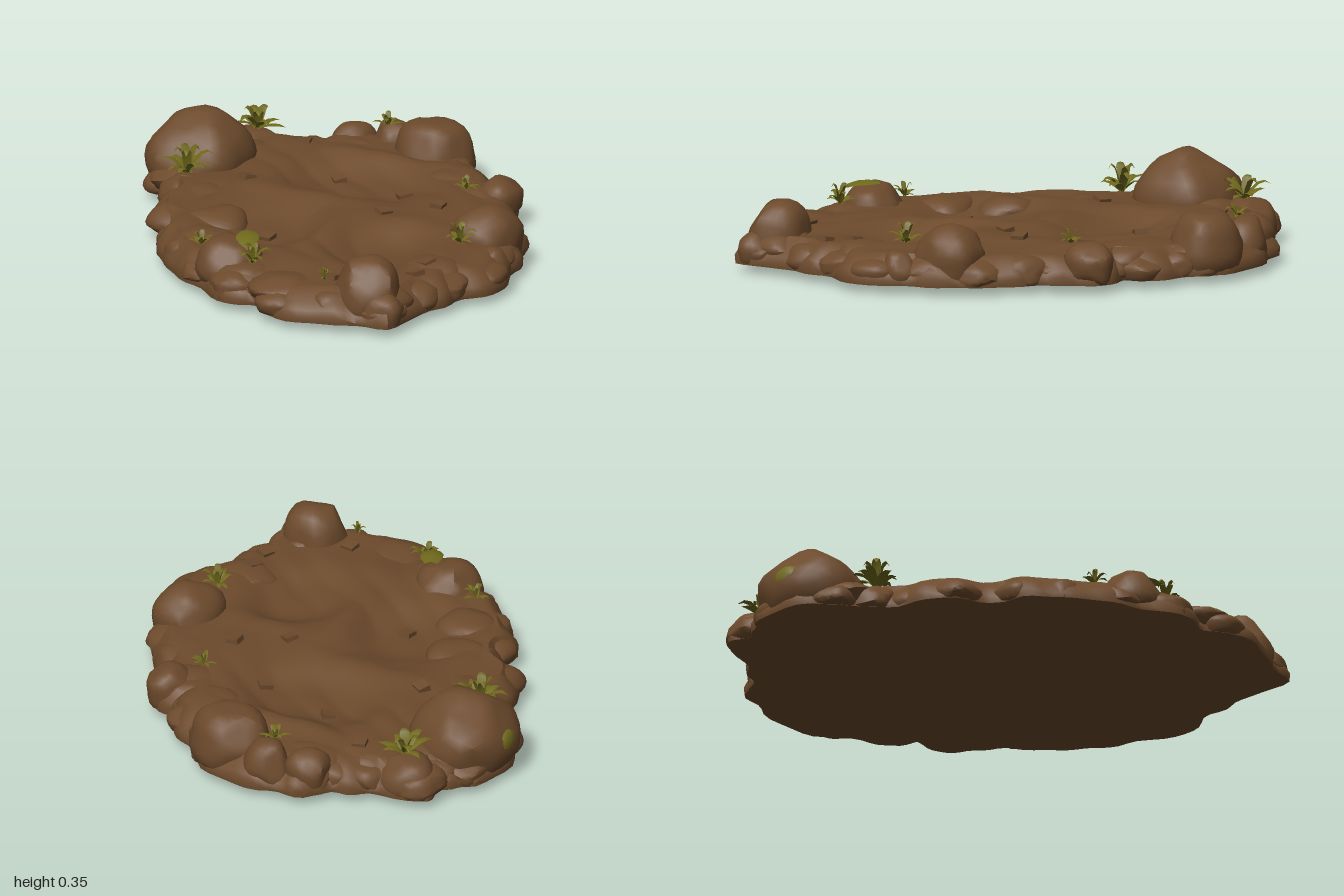
import * as THREE from 'three';
import { mergeVertices, mergeGeometries, toCreasedNormals } from 'three/addons/utils/BufferGeometryUtils.js';

const earth = new THREE.MeshStandardMaterial({ color: 0x6c4a2c });
earth.name = 'earth brown';
const grass = new THREE.MeshStandardMaterial({ color: 0x70691c, side: THREE.DoubleSide });
grass.name = 'olive grass';

// Seeded random numbers
let seed = 7;
const rand = () => (seed = (seed * 16807) % 2147483647) / 2147483647;

// Ground plan of the mound, as x, z pairs
const OUTLINE = [
  [-0.14, -0.99], [0.14, -0.95], [0.22, -0.86], [0.37, -0.75], [0.42, -0.64], [0.56, -0.6], [0.61, -0.46],
  [0.70, -0.32], [0.82, -0.15], [0.88, 0.05], [0.93, 0.29], [0.84, 0.48], [0.79, 0.66], [0.74, 0.89],
  [0.53, 0.94], [0.30, 0.99], [0.17, 0.89], [0.03, 0.90], [-0.18, 0.77], [-0.37, 0.63], [-0.49, 0.46],
  [-0.51, 0.32], [-0.66, 0.21], [-0.69, 0.0], [-0.79, -0.15], [-0.9, -0.27], [-0.88, -0.54], [-0.78, -0.62],
  [-0.77, -0.74], [-0.55, -0.81], [-0.41, -0.87], [-0.33, -0.95],
];

// Flat-bottomed pits, then ridges: x, z, radius x, radius z, height, edge sharpness
const RELIEF = [
  [-0.04, -0.38, 0.28, 0.18, -0.05, 4], [-0.13, 0.26, 0.21, 0.22, -0.05, 4], [0.41, 0.32, 0.19, 0.21, -0.05, 4],
  [-0.03, -0.64, 0.3, 0.06, 0.03, 2], [-0.38, -0.42, 0.08, 0.16, 0.02, 2], [-0.12, -0.1, 0.3, 0.08, 0.025, 2],
  [0.14, 0.22, 0.06, 0.2, 0.02, 2], [0.4, 0.02, 0.2, 0.08, 0.02, 2], [-0.42, 0.12, 0.08, 0.2, 0.015, 2],
  [0.2, 0.64, 0.25, 0.1, 0.012, 2], [0.4, -0.3, 0.12, 0.2, 0.015, 2],
];

function groundHeight(x, z) {
  let y = 0.145 + 0.008 * Math.sin(11 * x + 3 * z) * Math.cos(9 * z - 4 * x)
    + 0.007 * Math.abs(Math.sin(13 * x - 9 * z + 2 * Math.sin(7 * z)));
  for (const [cx, cz, rx, rz, h, sharp] of RELIEF) {
    y += h * Math.exp(-(Math.hypot((x - cx) / rx, (z - cz) / rz) ** sharp));
  }
  return y;
}

// Slab: rings run out over the top, round the rim and back under
function slabGeometry() {
  const curve = new THREE.CatmullRomCurve3(OUTLINE.map(([x, z]) => new THREE.Vector3(x, 0, z)), true);
  const n = 160, rim = curve.getPoints(n);
  const rings = [];
  for (let i = 0; i <= 32; i++) rings.push([0.9 * i / 32, null]);
  rings.push([0.935, 0.128], [0.965, 0.105], [0.99, 0.082], [1.003, 0.058], [1, 0.035], [0.5, 0.012], [0, 0]);
  const pos = [], index = [];
  rings.forEach(([s, y], i) => {
    for (let j = 0; j < n; j++) {
      // The rim rolls in and out in small lumps
      const a = j / n * Math.PI * 2, roll = 0.009 * Math.sin(23 * a) + 0.007 * Math.sin(37 * a + 1);
      const k = s * (1 + roll * s * s), x = rim[j].x * k, z = rim[j].z * k;
      const lift = y > 0.05 ? roll * 0.9 : 0;
      pos.push(x, y === null ? groundHeight(x, z) : y + lift, z);
      if (i === rings.length - 1) continue;
      const p = i * n + j, q = i * n + (j + 1) % n;
      if (i > 0) index.push(p, q, p + n);
      if (i < rings.length - 2) index.push(q, q + n, p + n);
    }
  });
  const g = new THREE.BufferGeometry();
  g.setAttribute('position', new THREE.Float32BufferAttribute(pos, 3));
  g.setIndex(index);
  return toCreasedNormals(g, 0.8);
}

// Lumpy boulder with blunted sides and a boxy swell
function boulderGeometry(rx, ry, rz) {
  let g = new THREE.IcosahedronGeometry(1, 4);
  g.deleteAttribute('normal');
  g.deleteAttribute('uv');
  g = mergeVertices(g, 1e-4);
  const p = g.attributes.position, v = new THREE.Vector3();
  const a = rand() * 6, b = rand() * 6, c = rand() * 6;
  // Random cutting planes flatten the sides into broad faces
  const cuts = Array.from({ length: 10 }, () =>
    [new THREE.Vector3(rand() - 0.5, rand() - 0.5, rand() - 0.5).normalize(), 0.86 + rand() * 0.1]);
  for (let i = 0; i < p.count; i++) {
    v.fromBufferAttribute(p, i);
    const swell = (Math.abs(v.x) ** 2.4 + Math.abs(v.y) ** 2.4 + Math.abs(v.z) ** 2.4) ** (-1 / 2.4);
    let r = swell * (0.97 + 0.05 * Math.sin(4 * v.x + a) * Math.cos(4 * v.z + b) + 0.03 * Math.sin(6 * v.y + c));
    for (const [dir, d] of cuts) {
      const dot = v.dot(dir);
      if (dot * r > d) r = d / dot;
    }
    p.setXYZ(i, v.x * r * rx, v.y * r * ry, v.z * r * rz);
  }
  return g;
}

// Boulder resting on a flat, buried base
function addBoulder(parent, name, x, z, rx, rz, top, middle) {
  const g = boulderGeometry(rx, top - middle, rz);
  g.computeBoundingBox();
  const lift = top - g.boundingBox.max.y, p = g.attributes.position;
  for (let i = 0; i < p.count; i++) p.setY(i, Math.max(p.getY(i), 0.036 - lift));
  const mesh = new THREE.Mesh(toCreasedNormals(g, 0.7), earth);
  mesh.name = name;
  mesh.position.set(x, lift, z);
  parent.add(mesh);
}

// Pointed leaf that rises from the origin and arches outwards
function bladeGeometry(length, width, rise) {
  const pos = [], index = [], steps = 4;
  for (let i = 0; i <= steps; i++) {
    const t = i / steps, w = width * (0.35 + 1.9 * t) * (1 - t) + 0.0005;
    const x = length * t, y = rise * Math.sin(t * 2.2);
    pos.push(x, y, -w, x, y + w * 0.3, 0, x, y, w);
    if (i === steps) continue;
    for (const k of [0, 1]) {
      const a = i * 3 + k;
      index.push(a, a + 1, a + 3, a + 1, a + 4, a + 3);
    }
  }
  const g = new THREE.BufferGeometry();
  g.setAttribute('position', new THREE.Float32BufferAttribute(pos, 3));
  g.setIndex(index);
  g.computeVertexNormals();
  return g;
}

// Tuft of spreading leaves round a few upright ones
function addTuft(parent, x, y, z, size, height, count) {
  const blades = [];
  for (let i = 0; i < count; i++) {
    const upright = i % 3 === 2;
    const g = bladeGeometry(size * (upright ? 0.5 : 0.75 + 0.35 * rand()), size * 0.25,
      height * (upright ? 1 : 0.25 + 0.6 * rand()));
    g.rotateY((i + 0.7 * rand()) / count * Math.PI * 2);
    blades.push(g);
  }
  const tuft = new THREE.Mesh(mergeGeometries(blades), grass);
  tuft.name = 'grassTuft';
  tuft.position.set(x, y, z);
  parent.add(tuft);
}

export function createModel() {
  const model = new THREE.Group();
  model.name = 'earthMound';

  const slab = new THREE.Mesh(slabGeometry(), earth);
  slab.name = 'ground';
  model.add(slab);

  // Large boulders: x, z, radius x, radius z, top, middle
  const boulders = [
    [-0.73, -0.37, 0.21, 0.215, 0.35, 0.15], [0.07, -0.83, 0.165, 0.145, 0.27, 0.12],
    [0.72, -0.02, 0.14, 0.145, 0.27, 0.12], [0.6, 0.78, 0.14, 0.125, 0.28, 0.12],
    [-0.06, 0.69, 0.135, 0.135, 0.235, 0.12], [0.51, -0.53, 0.095, 0.1, 0.2, 0.1],
    [-0.3, -0.86, 0.09, 0.09, 0.2, 0.1], [-0.64, -0.68, 0.13, 0.11, 0.18, 0.08],
    [0.84, 0.15, 0.06, 0.07, 0.165, 0.08], [-0.14, -0.9, 0.1, 0.09, 0.22, 0.1],
    [-0.66, -0.12, 0.1, 0.09, 0.155, 0.08], [0.68, 0.83, 0.1, 0.08, 0.17, 0.08],
  ];
  for (const b of boulders) addBoulder(model, 'boulder', ...b);

  // Worn lumps along the rim, with broad low mounds behind every other one
  OUTLINE.forEach(([x, z], i) => {
    const d = Math.hypot(x, z), k = 1 - 0.11 / d, m = 1 - 0.18 / d, r = 0.1 + 0.02 * rand();
    addBoulder(model, 'rimLump', x * k, z * k, r, r * (0.9 + 0.2 * rand()), 0.128 + 0.02 * rand(), 0.07);
    if (i % 2) addBoulder(model, 'lowMound', x * m, z * m, 0.14, 0.13, 0.158 + 0.014 * rand(), 0.1);
  });

  // Small stones half sunk into the ground
  const stones = [
    [-0.15, -0.44], [0.25, -0.04], [-0.09, 0.3], [0.42, 0.74], [0.69, 0.54], [0.68, 0.42], [0.18, -0.36],
    [-0.42, -0.66], [-0.41, -0.15], [0.42, -0.18],
  ];
  for (const [x, z] of stones) {
    const stone = new THREE.Mesh(new THREE.BoxGeometry(0.05, 0.03, 0.055), earth);
    stone.name = 'stone';
    stone.position.set(x, groundHeight(x, z) + 0.002, z);
    stone.rotation.set(0.5 * rand() - 0.25, rand() * 6, 0.5 * rand() - 0.25);
    model.add(stone);
  }

  // Grass tufts: x, y, z, size, height, blade count
  const tufts = [
    [-0.63, 0.18, -0.67, 0.12, 0.085, 10], [-0.66, 0.155, -0.12, 0.11, 0.11, 14], [-0.15, 0.21, -0.86, 0.065, 0.05, 8],
    [0.43, 0.17, -0.41, 0.055, 0.055, 8], [0.7, 0.17, 0.18, 0.08, 0.08, 10], [-0.22, 0.155, 0.62, 0.06, 0.055, 8],
    [0.08, 0.165, 0.76, 0.075, 0.08, 11], [0.43, 0.17, 0.82, 0.035, 0.05, 6],
  ];
  for (const t of tufts) addTuft(model, ...t);

  // Broad leaf draped on the front boulder, and moss on the big one
  const leaf = new THREE.Mesh(bladeGeometry(0.16, 0.07, 0.02), grass);
  leaf.name = 'broadLeaf';
  leaf.position.set(-0.01, 0.245, 0.63);
  leaf.rotation.set(0, -1.1, -0.25);
  model.add(leaf);
  const moss = new THREE.Mesh(new THREE.SphereGeometry(1, 12, 8), grass);
  moss.name = 'mossPatch';
  moss.scale.set(0.03, 0.055, 0.065);
  moss.position.set(-0.915, 0.16, -0.37);
  model.add(moss);

  return model;
}
